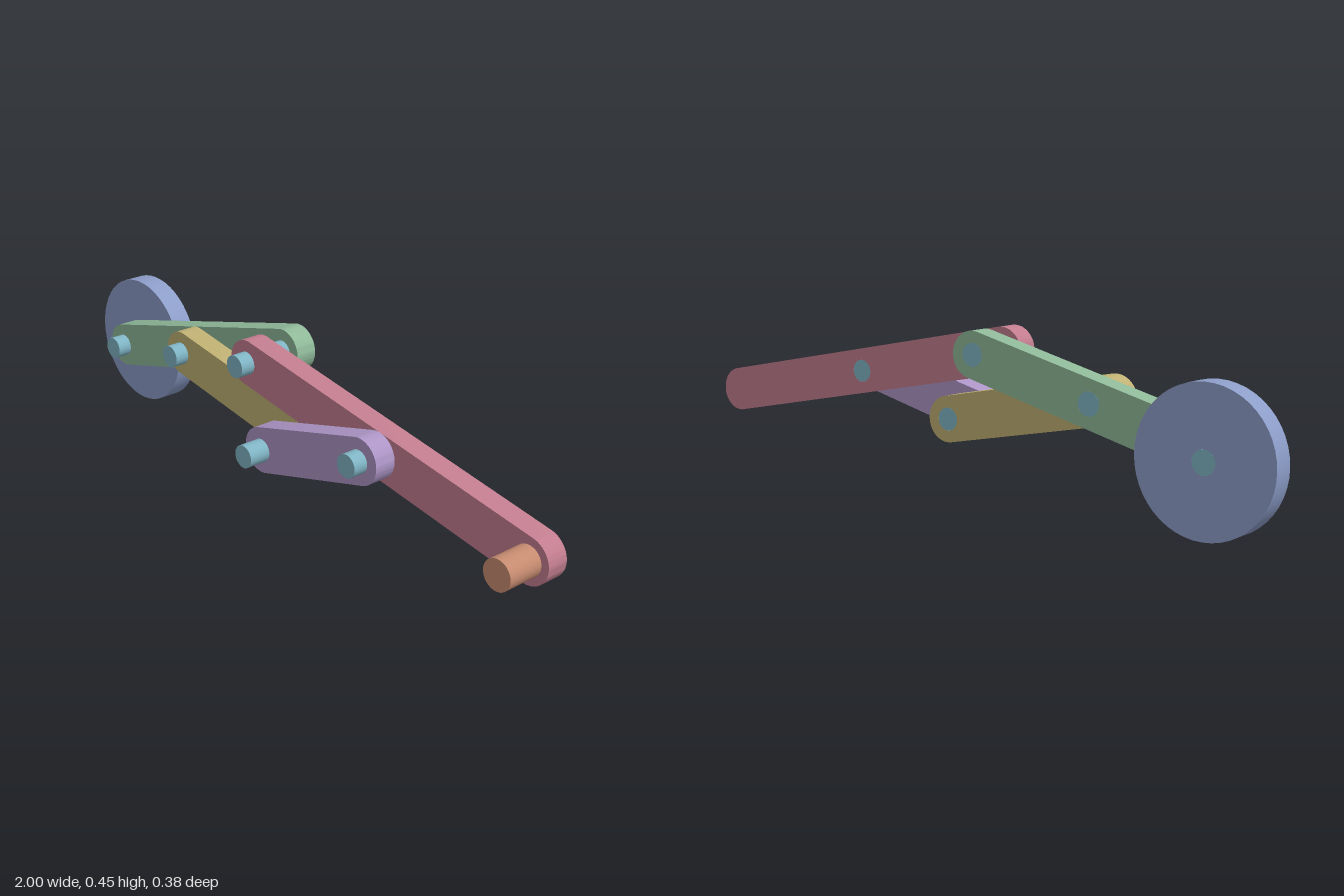
import * as THREE from 'three';
import { toCreasedNormals } from 'three/addons/utils/BufferGeometryUtils.js';

const T = 0.064;        // thickness of one layer
const R = 0.064;        // bar end radius
const PIN = 0.032;      // pin radius
const OVERHANG = 0.043; // how far pins stand proud

const mat = (color) => new THREE.MeshStandardMaterial({ color });

// Joint positions of the linkage (parallelogram)
const A = new THREE.Vector2(-0.808, 0.192);
const C = new THREE.Vector2(-0.07, 0.385);
const P = new THREE.Vector2(0.936, 0.192);
const B = A.clone().lerp(C, 0.5);
const E = C.clone().lerp(P, 0.5);
const D = B.clone().add(E).sub(C);

function plate(name, shape, holes, color) {
  for (const x of holes) {
    shape.holes.push(new THREE.Path().absarc(x, 0, PIN, 0, Math.PI * 2, true));
  }
  const geo = new THREE.ExtrudeGeometry(shape, { depth: T, bevelEnabled: false, curveSegments: 24 });
  const mesh = new THREE.Mesh(toCreasedNormals(geo, 0.6), mat(color));
  mesh.name = name;
  return mesh;
}

// Round-ended bar from one joint to another, with holes at given fractions
function bar(name, from, to, z, holes, color) {
  const d = to.clone().sub(from), len = d.length();
  const s = new THREE.Shape();
  s.absarc(len, 0, R, -Math.PI / 2, Math.PI / 2, false);
  s.absarc(0, 0, R, Math.PI / 2, Math.PI * 1.5, false);
  s.closePath();
  const mesh = plate(name, s, holes.map((f) => f * len), color);
  mesh.position.set(from.x, from.y, z);
  mesh.rotation.z = d.angle();
  return mesh;
}

// Cylinder along z between two depths
function rod(name, at, z0, z1, r, color) {
  const geo = new THREE.CylinderGeometry(r, r, z1 - z0, 32).rotateX(Math.PI / 2);
  const mesh = new THREE.Mesh(geo, mat(color));
  mesh.name = name;
  mesh.position.set(at.x, at.y, (z0 + z1) / 2);
  return mesh;
}

export function createModel() {
  const g = new THREE.Group();
  g.name = 'pantographLinkage';

  // Anchor disc at the back
  const disc = new THREE.Shape().absarc(0, 0, 0.192, 0, Math.PI * 2, false);
  const base = plate('anchorDisc', disc, [0], 0x8c9dc8);
  base.position.set(A.x, A.y, -3 * T);
  g.add(base);

  // Four bars, one per layer
  g.add(
    bar('anchorBar', A, C, -2 * T, [0, 0.5, 1], 0x8fb999),
    bar('innerBar', B, D, -T, [0, 1], 0xbfb073),
    bar('penBar', C, P, 0, [0, 0.5], 0xc27d8f),
    bar('linkBar', D, E, T, [0, 1], 0xad95c6),
  );

  // Pivot pins through the joints
  const pins = [
    ['anchorPin', A, -3 * T, -T + OVERHANG],
    ['innerPin', B, -2 * T, OVERHANG],
    ['elbowPin', C, -2 * T, T + OVERHANG],
    ['tracerPin', D, -T, 3 * T],
    ['linkPin', E, 0, 2 * T + OVERHANG],
  ];
  for (const [name, at, z0, z1] of pins) g.add(rod(name, at, z0, z1, PIN, 0x7fb4c4));

  // Pen holder on the end of the long bar
  g.add(rod('penHolder', P, T, 2 * T + OVERHANG, 0.042, 0xc68b70));
  return g;
}
